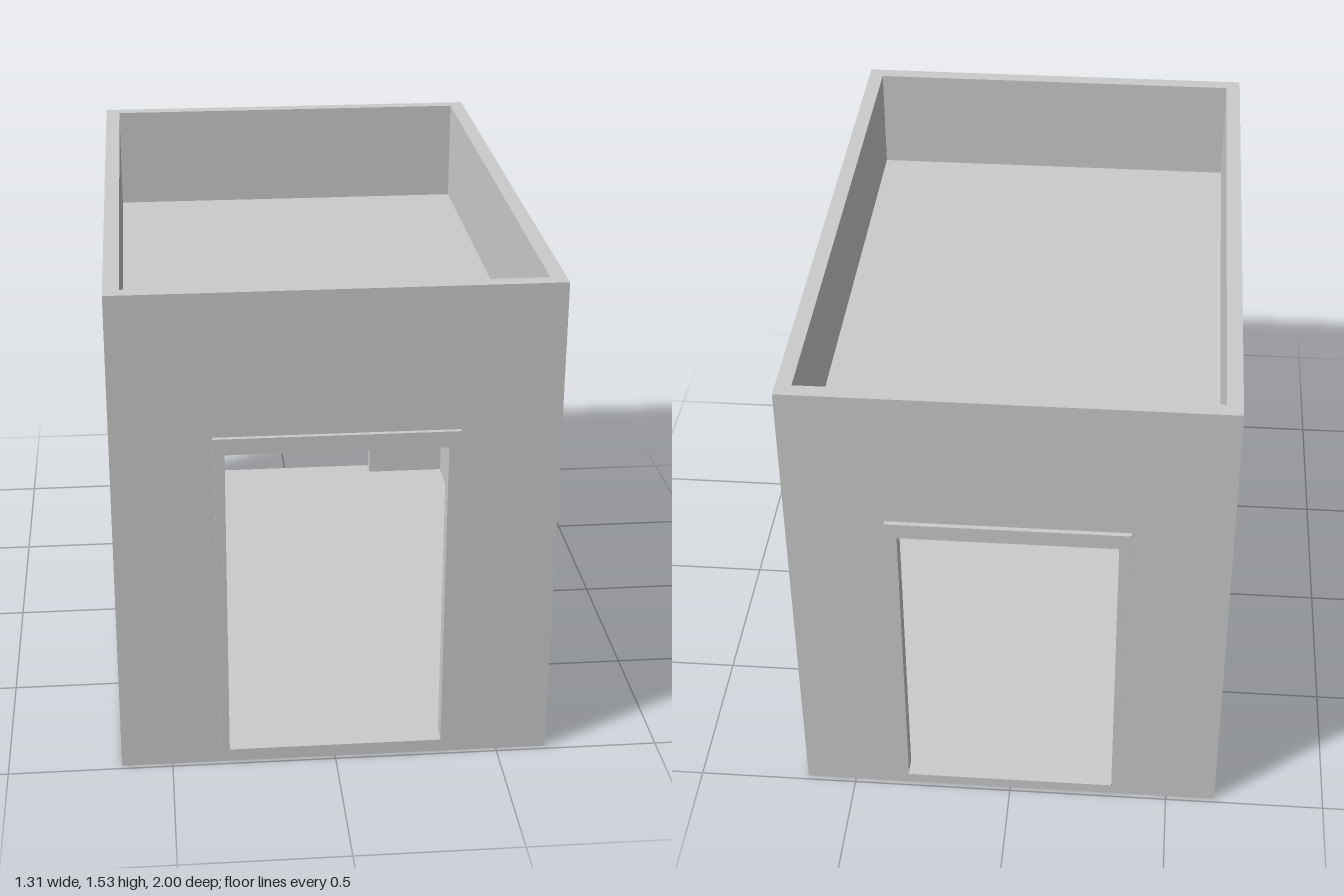
import * as THREE from 'three';

const W = 0.655, D = 0.985, H = 1.53, T = 0.047; // half width, half depth, height, wall thickness
const FLOOR = 0.05, CEIL = 1.146, ROOF = 1.19;
const DOOR = 0.325, DOOR_TOP = 1.04;
const material = new THREE.MeshStandardMaterial({ color: 0xcccccc });

// Box given by its min and max on each axis
function box(name, [x0, x1], [y0, y1], [z0, z1]) {
  const mesh = new THREE.Mesh(new THREE.BoxGeometry(x1 - x0, y1 - y0, z1 - z0), material);
  mesh.position.set((x0 + x1) / 2, (y0 + y1) / 2, (z0 + z1) / 2);
  mesh.name = name;
  return mesh;
}

// Rectangle outline for wall and doorway
function rect(target, x0, y0, x1, y1) {
  target.moveTo(x0, y0);
  target.lineTo(x1, y0);
  target.lineTo(x1, y1);
  target.lineTo(x0, y1);
  target.closePath();
  return target;
}

// End wall with its doorway and trim, facing +z
function endWall(name) {
  const group = new THREE.Group();
  group.name = name;
  const shape = rect(new THREE.Shape(), -W, 0, W, H);
  shape.holes.push(rect(new THREE.Path(), -DOOR, FLOOR, DOOR, DOOR_TOP));
  const wall = new THREE.Mesh(
    new THREE.ExtrudeGeometry(shape, { depth: T, bevelEnabled: false }), material);
  wall.position.z = D - T;
  wall.name = name + 'Panel';
  group.add(wall);

  group.add(box('doorLintel', [-0.36, 0.36], [DOOR_TOP, 1.09], [D - 0.01, 1]));
  group.add(box('doorSill', [-DOOR, DOOR], [0.02, FLOOR], [D - 0.01, 1]));
  for (const s of [-1, 1]) {
    const xs = [s * DOOR, s * 0.355].sort((a, b) => a - b);
    group.add(box(s > 0 ? 'leftDoorJamb' : 'rightDoorJamb', xs, [FLOOR, DOOR_TOP], [D - 0.01, 0.993]));
  }
  return group;
}

export function createModel() {
  const model = new THREE.Group();
  model.name = 'flatRoofedRoom';

  // Two matching end walls
  const back = endWall('backWall');
  back.rotation.y = Math.PI;
  model.add(endWall('frontWall'), back);

  // Side walls rise past the roof as a parapet
  const inZ = [-D + T, D - T], inX = [-W + T, W - T];
  model.add(box('leftWall', [W - T, W], [0, H], inZ));
  model.add(box('rightWall', [-W, -W + T], [0, H], inZ));

  // Floor and sunken flat roof
  model.add(box('floor', inX, [0, FLOOR], inZ));
  model.add(box('roof', inX, [CEIL, ROOF], inZ));

  // Short partition standing out from the right wall
  model.add(box('partition', [-W + T, -0.325], [FLOOR, CEIL], [0.147, 0.19]));
  return model;
}
